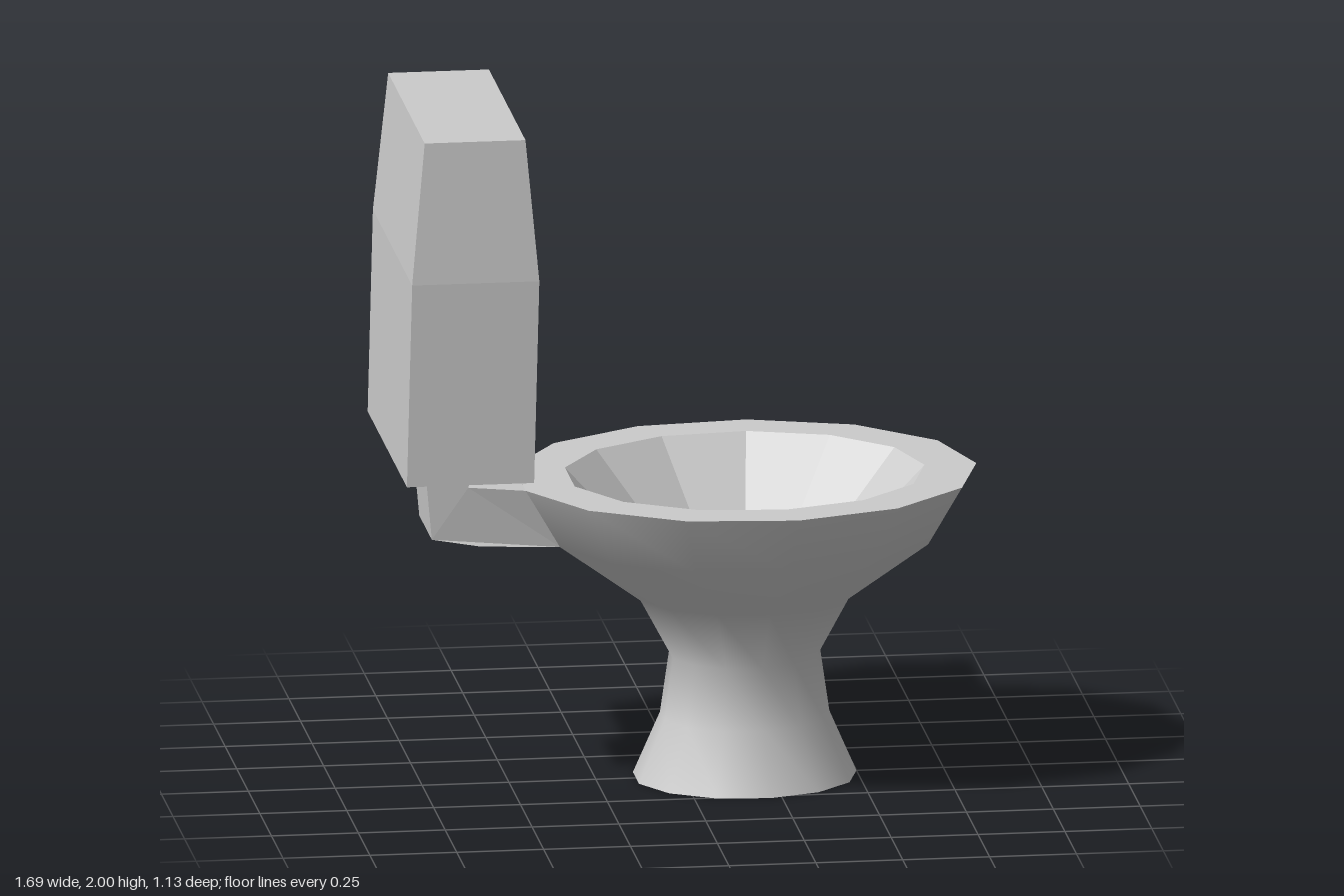
import * as THREE from 'three';

const SIDES = 13;
const CENTRE = 0.178;   // x of the bowl axis
const OVAL = 0.855;     // z squash of the oval bowl
const RIM = 0.895;

const smooth = new THREE.MeshStandardMaterial({ color: 0xcccccc, side: THREE.DoubleSide });
const flat = new THREE.MeshStandardMaterial({ color: 0xcccccc, side: THREE.DoubleSide, flatShading: true });

// Oval turned part from [radius, y] pairs, with one corner pointing along +x
function turned(name, profile, material) {
  const points = profile.map(([r, y]) => new THREE.Vector2(r, y));
  const geometry = new THREE.LatheGeometry(points, SIDES, Math.PI / 2);
  geometry.scale(1, 1, OVAL);
  geometry.computeVertexNormals();
  const mesh = new THREE.Mesh(geometry, material);
  mesh.position.x = CENTRE;
  mesh.name = name;
  return mesh;
}

// Cistern: a box whose three levels follow [centre x, half width, y, half depth]
function makeCistern() {
  const levels = [
    [-0.667, 0.183, 0.995, 0.425],
    [-0.652, 0.183, 1.59, 0.425],
    [-0.65, 0.145, 2.0, 0.395],
  ];
  const geometry = new THREE.BoxGeometry(2, 2, 2, 1, 2, 1);
  const p = geometry.attributes.position;
  for (let i = 0; i < p.count; i++) {
    const [cx, hx, y, hz] = levels[Math.round(p.getY(i)) + 1];
    p.setXYZ(i, cx + p.getX(i) * hx, y, p.getZ(i) * hz);
  }
  const mesh = new THREE.Mesh(geometry, flat);
  mesh.name = 'cistern';
  return mesh;
}

// Bent arm from the back of the bowl up to the cistern
function makeArm() {
  const outline = [
    [-0.368, 0.72], [-0.47, RIM], [-0.635, 0.91], [-0.61, 1.0],
    [-0.73, 1.0], [-0.755, 0.925], [-0.74, 0.76], [-0.6, 0.735],
  ];
  const shape = new THREE.Shape(outline.map(([x, y]) => new THREE.Vector2(x, y)));
  const geometry = new THREE.ExtrudeGeometry(shape, { depth: 0.272, bevelEnabled: false });
  geometry.translate(0, 0, -0.136);
  // Narrow the lower front edge to match the bowl facet
  const p = geometry.attributes.position;
  for (let i = 0; i < p.count; i++) {
    if (p.getX(i) > -0.4) p.setZ(i, p.getZ(i) * 0.845);
  }
  const mesh = new THREE.Mesh(geometry, flat);
  mesh.name = 'connectingArm';
  return mesh;
}

export function createModel() {
  const model = new THREE.Group();
  model.name = 'toilet';

  // Pedestal and outer bowl, open underneath
  model.add(turned('pedestalAndBowl', [
    [0.322, 0], [0.244, 0.18], [0.218, 0.36], [0.317, 0.54], [0.563, 0.72], [0.667, RIM],
  ], smooth));

  // Flat rim, faceted basin and its floor
  model.add(turned('rim', [[0.667, RIM], [0.518, RIM]], flat));
  model.add(turned('basin', [[0.518, RIM], [0.157, 0.52]], flat));
  model.add(turned('basinFloor', [[0.157, 0.52], [0, 0.52]], flat));

  model.add(makeArm(), makeCistern());
  return model;
}
